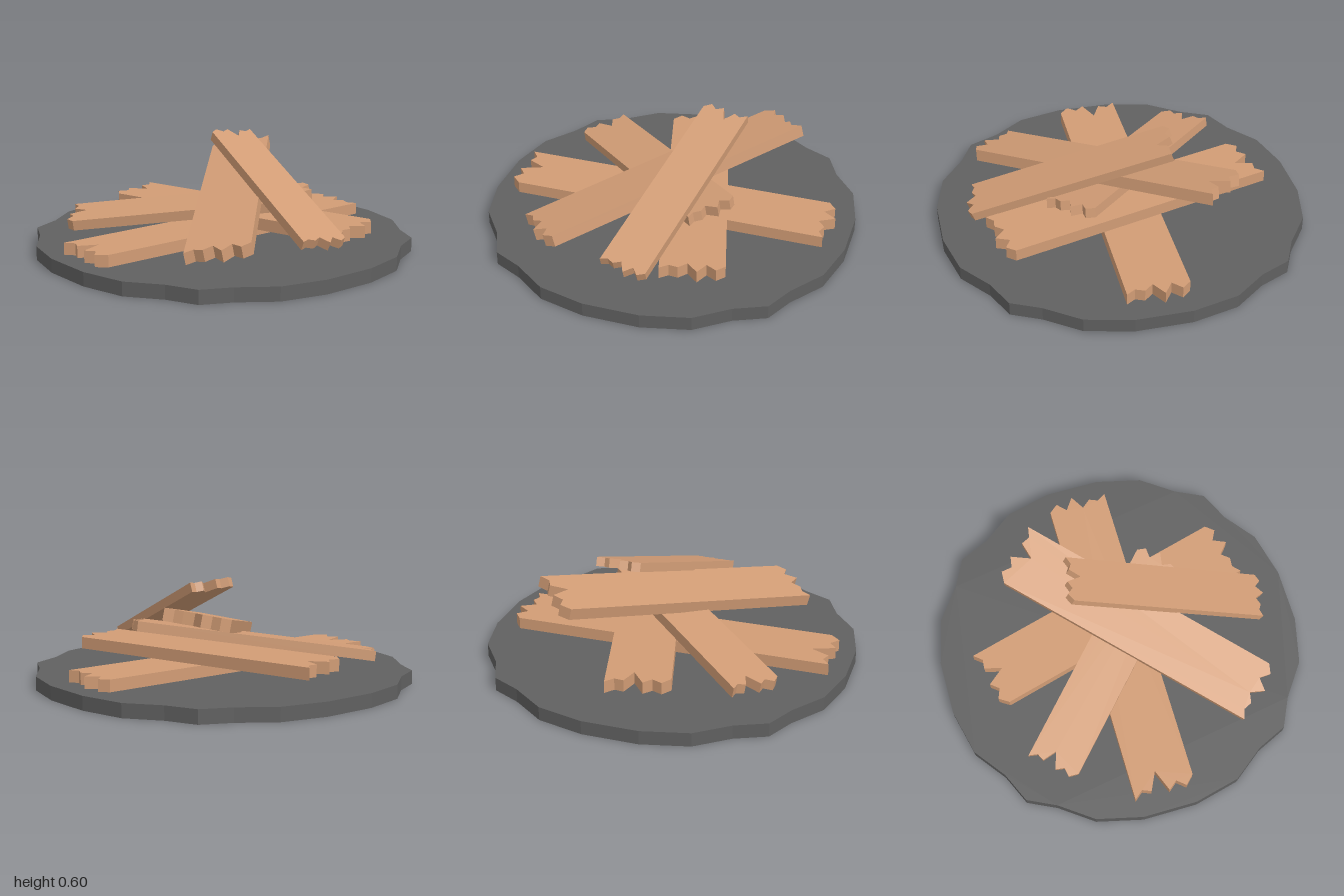
import * as THREE from 'three';

// Flat outline (x, y) extruded so its depth points up, from y = 0
function slab(points, depth) {
  const shape = new THREE.Shape(points.map(([x, y]) => new THREE.Vector2(x, y)));
  const geometry = new THREE.ExtrudeGeometry(shape, { depth, bevelEnabled: false });
  return geometry.rotateX(-Math.PI / 2);
}

// Splintered board, long side on x, centred on the origin
function boardGeometry(width, thickness, length) {
  const endA = [0.85, 0.89, 0.84, 0.91, 0.83, 0.87, 0.85, 0.88];
  const endB = [0.91, 0.87, 0.89, 0.79, 0.91, 0.87, 0.91, 0.86];
  const across = (i) => width * (0.5 - i / 7);
  const points = [
    ...endB.map((d, i) => [-d * length, across(i)]),
    ...endA.map((d, i) => [d * length, across(i)]).reverse(),
  ];
  return slab(points, thickness).translate(0, -thickness / 2, 0);
}

export function createModel() {
  const model = new THREE.Group();
  model.name = 'woodPile';
  const wood = new THREE.MeshStandardMaterial({ color: 0xd19c75 });
  wood.name = 'wood';
  const ash = new THREE.MeshStandardMaterial({ color: 0x606060 });
  ash.name = 'ash';

  // Uneven disc of ash: one quarter of the rim, turned four times
  const quarter = [[1, 0.15], [0.94, 0.4], [0.81, 0.57], [0.735, 0.735], [0.58, 0.81], [0.4, 0.94], [0.15, 1]];
  const rim = [];
  for (let k = 0; k < 4; k++) {
    const c = Math.round(Math.cos(k * Math.PI / 2));
    const s = Math.round(Math.sin(k * Math.PI / 2));
    for (const [x, y] of quarter) rim.push([x * c - y * s, x * s + y * c]);
  }
  const base = new THREE.Mesh(slab(rim, 0.075), ash);
  base.name = 'ashBase';
  model.add(base);

  // Boards: centre, yaw in degrees, tilt about x and z, width and length scale
  const boards = [
    { name: 'bottomBoard', at: [-0.003, 0.107, 0], yaw: 90, tiltX: 0, tiltZ: 0, size: 1, length: 1 },
    { name: 'crossBoard', at: [-0.01, 0.172, -0.138], yaw: 15, tiltX: 0, tiltZ: 0, size: 1, length: 0.862 },
    { name: 'lowLeaningBoard', at: [-0.1, 0.227, 0.14], yaw: 47, tiltX: 0.155, tiltZ: 0, size: 0.85, length: 0.734 },
    { name: 'middleLeaningBoard', at: [0.1, 0.312, 0.015], yaw: -45, tiltX: 0.234, tiltZ: 0, size: 1, length: 0.862 },
    { name: 'topLeaningBoard', at: [0.305, 0.376, -0.116], yaw: -12.2, tiltX: 0, tiltZ: -0.358, size: 0.76, length: 0.637 },
  ];
  for (const b of boards) {
    const board = new THREE.Mesh(boardGeometry(0.335 * b.size, 0.065 * b.size, b.length), wood);
    board.name = b.name;
    board.position.set(...b.at);
    // Yaw first, then lean the turned board
    board.rotation.set(b.tiltX, THREE.MathUtils.degToRad(b.yaw), b.tiltZ, 'ZXY');
    model.add(board);
  }
  return model;
}
